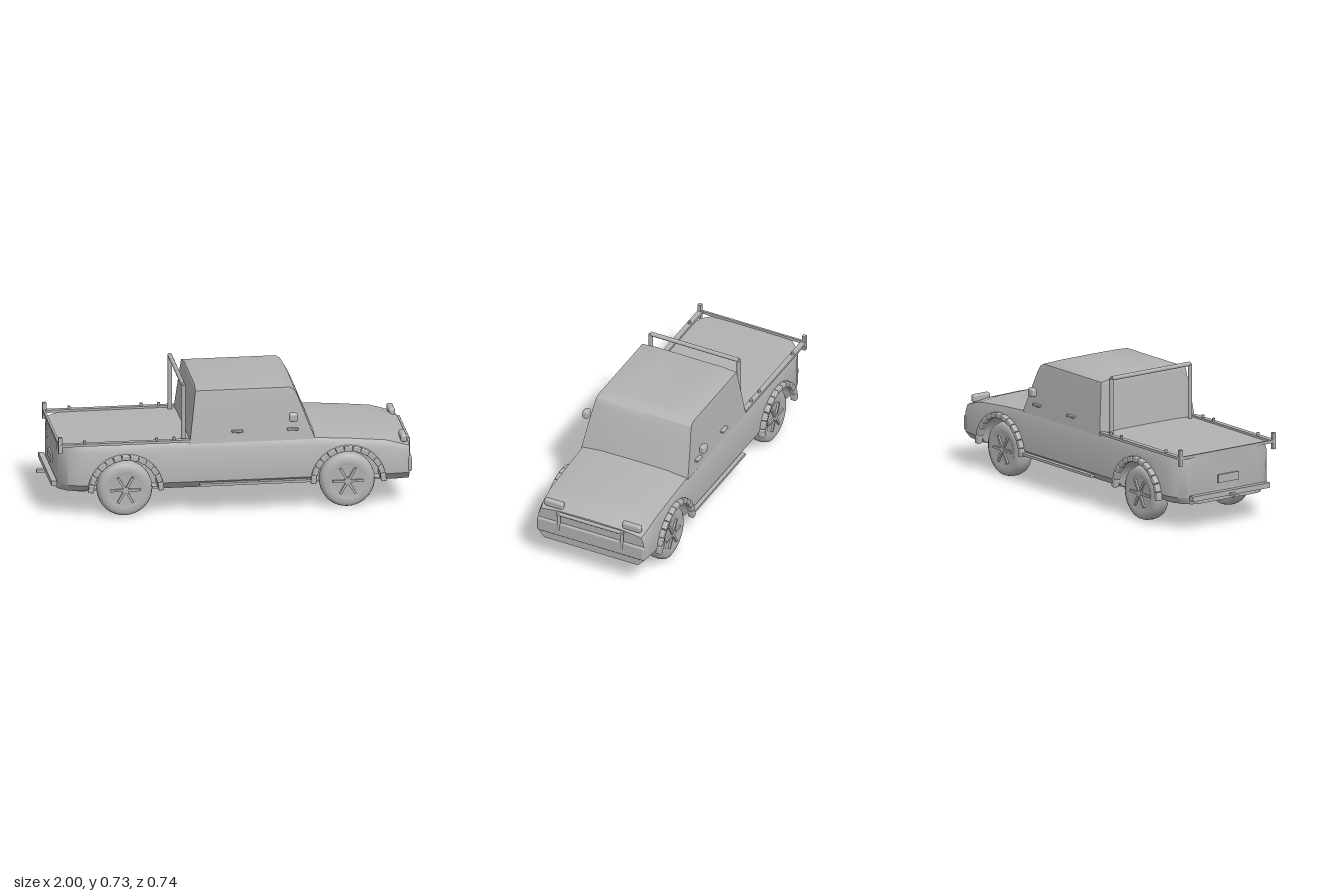
import * as THREE from 'three';
import { toCreasedNormals } from 'three/addons/utils/BufferGeometryUtils.js';
import { RoundedBoxGeometry } from 'three/addons/geometries/RoundedBoxGeometry.js';

const AXLES = [-0.56, 0.645], WHEEL_Y = 0.155, ARCH_R = 0.18;

// Skin closed rings of [x, y, z] points and cap both ends
function loft(rings, crease = 0.5) {
  const n = rings[0].length, pos = [];
  const same = (a, b) => Math.hypot(a[0] - b[0], a[1] - b[1], a[2] - b[2]) < 1e-5;
  const tri = (a, b, c) => {
    if (!same(a, b) && !same(b, c) && !same(a, c)) pos.push(...a, ...b, ...c);
  };
  for (let i = 0; i < rings.length - 1; i++) {
    for (let j = 0; j < n; j++) {
      const k = (j + 1) % n, r = rings[i], s = rings[i + 1];
      tri(r[j], r[k], s[j]);
      tri(r[k], s[k], s[j]);
    }
  }
  const centre = (r) => [0, 1, 2].map((a) => r.reduce((sum, p) => sum + p[a], 0) / n);
  const first = rings[0], last = rings[rings.length - 1];
  const c0 = centre(first), c1 = centre(last);
  for (let j = 0; j < n; j++) {
    const k = (j + 1) % n;
    tri(c0, first[k], first[j]);
    tri(c1, last[j], last[k]);
  }
  const geo = new THREE.BufferGeometry();
  geo.setAttribute('position', new THREE.Float32BufferAttribute(pos, 3));
  return toCreasedNormals(geo, crease);
}

// Body outline along its length: x, top height, drop at the edge, half width
const BODY = [
  [-0.92, 0.413, 0.004, 0.23], [-0.905, 0.414, 0.004, 0.265], [-0.87, 0.415, 0.004, 0.3],
  [-0.81, 0.416, 0.004, 0.322], [-0.7, 0.417, 0.004, 0.329], [-0.2, 0.42, 0.006, 0.33],
  [0.46, 0.426, 0.02, 0.33], [0.65, 0.414, 0.02, 0.33], [0.85, 0.396, 0.02, 0.33],
  [0.93, 0.373, 0.02, 0.327], [0.98, 0.354, 0.018, 0.318],
];

function bodyAt(x) {
  let i = 0;
  while (i < BODY.length - 2 && x > BODY[i + 1][0]) i++;
  const a = BODY[i], b = BODY[i + 1], f = (x - a[0]) / (b[0] - a[0]);
  return a.map((v, k) => v + (b[k] - v) * f);
}

function bodyGeometry() {
  const xs = BODY.map((s) => s[0]);
  for (const cx of AXLES) {
    for (let i = 0; i <= 20; i++) xs.push(cx - ARCH_R * Math.cos((i / 20) * Math.PI));
    xs.push(cx - ARCH_R - 0.002, cx + ARCH_R + 0.002);
  }
  xs.sort((a, b) => a - b);
  const rings = xs.map((x) => {
    const [, t, drop, w] = bodyAt(x);
    let low = 0.15;
    for (const cx of AXLES) {
      const d = Math.abs(x - cx);
      if (d <= ARCH_R + 1e-6) low = WHEEL_Y + Math.sqrt(Math.max(0, ARCH_R ** 2 - d * d));
    }
    const well = Math.min(0.21, w - 0.05);
    const chamfer = Math.max(0, 0.19 - low) * 0.85;
    const half = [
      [0.6 * w, t - drop * 0.2], [w - 0.016, t - drop], [w, t - drop - 0.04],
      [w, Math.max(low, 0.19)], [w - chamfer, low], [well, low], [well, 0.15],
    ];
    const mirrored = half.slice().reverse().map(([z, y]) => [-z, y]);
    return [[0, t], ...half, [0, 0.15], ...mirrored].map(([z, y]) => [x, y, z]);
  });
  return loft(rings, 0.6);
}

function cabGeometry() {
  // height, rear x, front x, half width, forward bow of the windscreen
  const levels = [
    [0.4, -0.212, 0.468, 0.322, 0.01], [0.43, -0.208, 0.457, 0.318, 0.01],
    [0.55, -0.193, 0.41, 0.304, 0.008], [0.64, -0.182, 0.376, 0.291, 0.006],
    [0.67, -0.178, 0.36, 0.287, 0.005], [0.686, -0.176, 0.335, 0.284, 0.004],
    [0.698, -0.17, 0.31, 0.2, 0.003], [0.7, -0.165, 0.3, 0.1, 0],
  ];
  return loft(levels.map(([y, r, f, w, bow]) => [
    [r, y, w], [f, y, w], [f + bow, y, w * 0.6], [f + bow * 1.3, y, 0],
    [f + bow, y, -w * 0.6], [f, y, -w], [r, y, -w],
  ]), 0.5);
}

export function createModel() {
  const truck = new THREE.Group();
  truck.name = 'pickupTruck';
  const paint = new THREE.MeshStandardMaterial({ color: 0xb2b2b2 });
  paint.name = 'grey';

  const add = (name, geo, x = 0, y = 0, z = 0, parent = truck) => {
    const m = new THREE.Mesh(geo, paint);
    m.name = name;
    m.position.set(x, y, z);
    parent.add(m);
    return m;
  };
  const box = (name, w, h, d, x, y, z, parent) =>
    add(name, new THREE.BoxGeometry(w, h, d), x, y, z, parent);
  const rounded = (name, w, h, d, r, x, y, z) =>
    add(name, new RoundedBoxGeometry(w, h, d, 3, r), x, y, z);
  const rod = (name, r, len, axis, x, y, z) => {
    const geo = new THREE.CylinderGeometry(r, r, len, 12);
    if (axis === 'x') geo.rotateZ(Math.PI / 2);
    if (axis === 'z') geo.rotateX(Math.PI / 2);
    return add(name, geo, x, y, z);
  };

  // Main shell
  add('body', bodyGeometry());
  add('cab', cabGeometry());
  box('floorPlate', 1.67, 0.01, 0.55, 0.025, 0.149, 0);

  // Wheels: rounded tyre with a six-spoke face
  const tyre = new THREE.LatheGeometry([
    [0, -0.044], [0.085, -0.044], [0.095, -0.05], [0.125, -0.05], [0.142, -0.04], [0.149, -0.02],
    [0.15, 0], [0.149, 0.02], [0.142, 0.04], [0.125, 0.05], [0.095, 0.05], [0.085, 0.044], [0, 0.044],
  ].map(([r, y]) => new THREE.Vector2(r, y)), 40);
  tyre.rotateX(Math.PI / 2);
  for (const cx of AXLES) {
    for (const s of [1, -1]) {
      const wheel = new THREE.Group();
      wheel.name = 'wheel';
      wheel.position.set(cx, WHEEL_Y, s * 0.272);
      if (s < 0) wheel.rotation.y = Math.PI;
      truck.add(wheel);
      add('tyre', tyre, 0, 0, 0, wheel);
      const hub = new THREE.CylinderGeometry(0.018, 0.02, 0.014, 16).rotateX(Math.PI / 2);
      add('hub', hub, 0, 0, 0.049, wheel);
      for (let i = 0; i < 6; i++) {
        const a = (i / 6) * Math.PI * 2;
        const spoke = box('spoke', 0.068, 0.013, 0.012, Math.cos(a) * 0.048, Math.sin(a) * 0.048, 0.049, wheel);
        spoke.rotation.z = a;
      }
      // Segmented flare around the wheel arch
      for (let i = 0; i < 13; i++) {
        const a = ((i + 0.5) / 13) * Math.PI;
        const flare = rounded('archFlare', 0.03, 0.045, 0.034, 0.006,
          cx + Math.cos(a) * 0.19, WHEEL_Y + Math.sin(a) * 0.19, s * 0.338);
        flare.rotation.z = a;
      }
    }
  }

  // Parts mirrored on both sides
  for (const s of [1, -1]) {
    box('sideStep', 0.6, 0.014, 0.03, 0.14, 0.173, s * 0.332);
    rounded('mirror', 0.048, 0.048, 0.036, 0.012, 0.345, 0.538, s * 0.352);
    for (const x of [0.045, 0.345]) rounded('doorHandle', 0.06, 0.012, 0.024, 0.004, x, 0.461, s * 0.322);
    box('bedRail', 0.7, 0.014, 0.03, -0.56, 0.418, s * 0.311);
    for (const x of [-0.78, -0.39, -0.295]) rod('railKnob', 0.008, 0.02, 'y', x, 0.43, s * 0.311);
    box('rearPost', 0.02, 0.09, 0.02, -0.913, 0.42, s * 0.315);
    rod('rollBarPost', 0.012, 0.3, 'y', -0.24, 0.566, s * 0.266);
    rounded('headlamp', 0.034, 0.042, 0.112, 0.012, 0.953, 0.371, s * 0.235);
    rod('bullBarPost', 0.01, 0.11, 'y', 0.988, 0.29, s * 0.19);
  }

  // Bed and rear fittings
  rod('rollBarTop', 0.012, 0.53, 'z', -0.24, 0.718, 0);
  box('tailRail', 0.012, 0.016, 0.63, -0.916, 0.418, 0);
  box('rearPlate', 0.012, 0.045, 0.14, -0.924, 0.27, 0);
  box('rearBumper', 0.03, 0.028, 0.52, -0.938, 0.19, 0);
  box('towHitch', 0.1, 0.016, 0.025, -0.95, 0.182, 0);

  // Nose fittings
  rounded('frontBumper', 0.024, 0.083, 0.644, 0.01, 0.982, 0.237, 0);
  rod('bullBarTop', 0.01, 0.4, 'z', 0.988, 0.338, 0);

  return truck;
}
